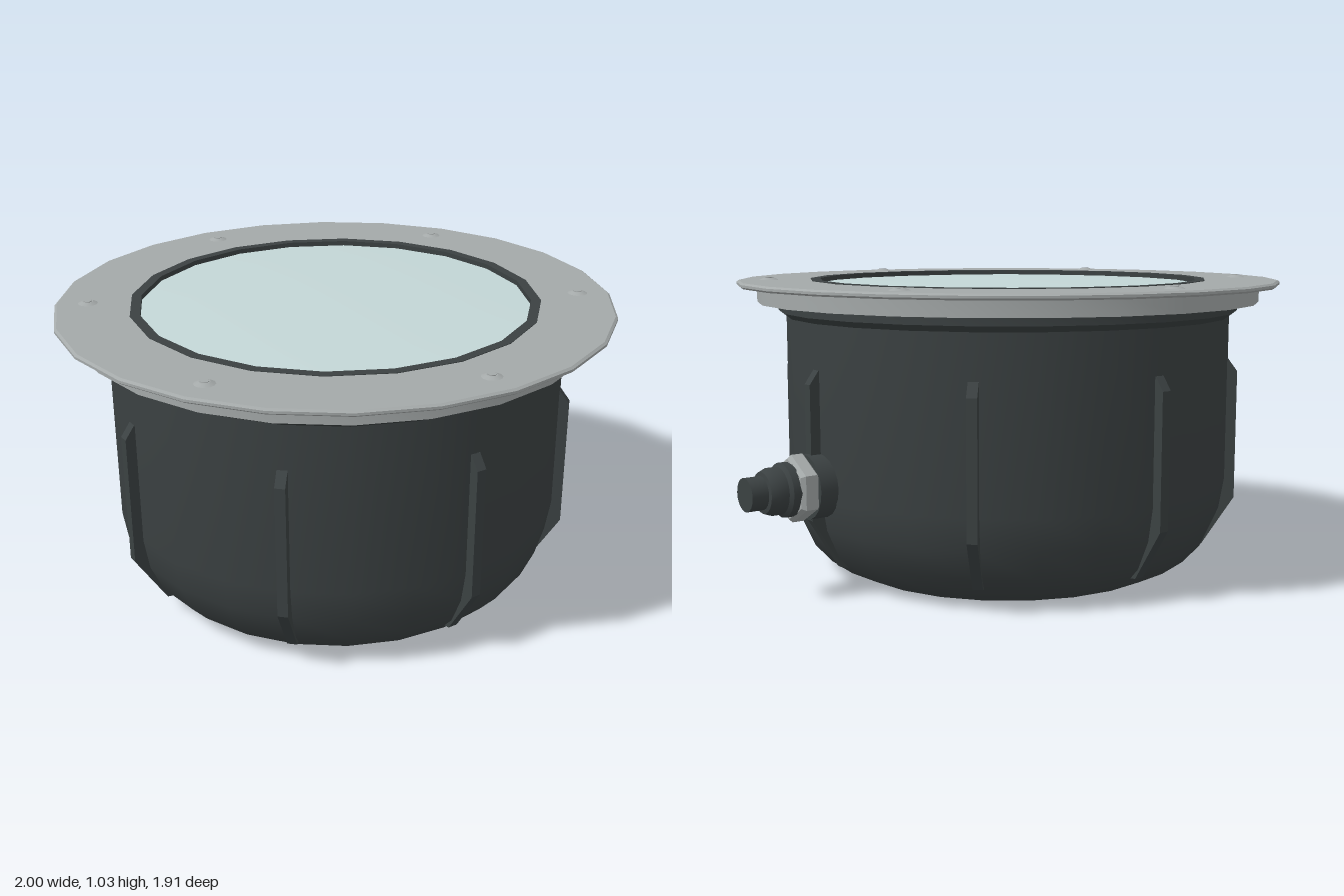
import * as THREE from 'three';
import { toCreasedNormals } from 'three/addons/utils/BufferGeometryUtils.js';

const mat = (name, color) => {
  const m = new THREE.MeshStandardMaterial({ color });
  m.name = name;
  return m;
};

export function createModel() {
  const housing = mat('dark housing plastic', 0x3b4142);
  const steel = mat('brushed steel', 0xa4a9a9);
  const glass = mat('pale glass', 0xc3d6d6);

  const model = new THREE.Group();
  model.name = 'recessedLight';
  const lamp = new THREE.Group();
  lamp.name = 'lamp';
  lamp.position.x = -0.047;
  model.add(lamp);

  const add = (parent, name, geometry, material) => {
    const mesh = new THREE.Mesh(geometry, material);
    mesh.name = name;
    parent.add(mesh);
    return mesh;
  };
  // Profiles are [radius, height] pairs, listed anticlockwise
  const lathe = (points, sides) => toCreasedNormals(
    new THREE.LatheGeometry(points.map(([r, y]) => new THREE.Vector2(r, y)), sides), 0.6);

  // Bowl with rounded foot and a flared lip at the top
  add(lamp, 'bowl', lathe([
    [0, 0], [0.57, 0], [0.66, 0.045], [0.72, 0.11], [0.765, 0.21], [0.783, 0.32],
    [0.783, 0.895], [0.81, 0.915], [0.81, 0.95], [0.66, 0.95],
  ], 24), housing);

  // Mounting ring under a wide thin trim plate
  add(lamp, 'mountingRing', lathe([
    [0.7, 0.945], [0.883, 0.945], [0.883, 1.003], [0.7, 1.003],
  ], 24), steel);
  add(lamp, 'trimPlate', lathe([
    [0.69, 1.0], [0.945, 1.0], [0.953, 1.006], [0.953, 1.014], [0.945, 1.02],
    [0.69, 1.02], [0.69, 1.0],
  ], 24), steel);

  // Gasket and shallow glass lens
  add(lamp, 'gasket', lathe([
    [0.668, 0.95], [0.702, 0.95], [0.702, 1.022], [0.668, 1.022], [0.668, 0.95],
  ], 20), housing);
  add(lamp, 'lens', lathe([
    [0.669, 1.005], [0.5, 1.013], [0.25, 1.019], [0, 1.021],
  ], 20), glass);

  // Six low screw heads on the trim plate
  for (let i = 0; i < 6; i++) {
    const a = i * Math.PI / 3;
    const x = 0.84 * Math.sin(a), z = 0.84 * Math.cos(a);
    const washer = add(lamp, 'screwWasher',
      new THREE.CylinderGeometry(0.018, 0.036, 0.008, 12), steel);
    washer.position.set(x, 1.023, z);
    const head = add(lamp, 'screwHead', new THREE.CylinderGeometry(0.015, 0.015, 0.004, 6), steel);
    head.position.set(x, 1.027, z);
  }

  // Eight vertical cooling ribs following the bowl
  const ribShape = new THREE.Shape([
    [0.66, 0.07], [0.705, 0.075], [0.816, 0.25], [0.816, 0.7], [0.783, 0.745], [0.74, 0.745],
    [0.74, 0.3],
  ].map(([r, y]) => new THREE.Vector2(r, y)));
  const ribGeometry = new THREE.ExtrudeGeometry(ribShape, { depth: 0.034, bevelEnabled: false });
  ribGeometry.translate(0, 0, -0.017);
  for (let i = 0; i < 8; i++) {
    add(lamp, 'rib', ribGeometry, housing).rotation.y = i * Math.PI / 4;
  }

  // Cable gland on the left side, its axis running along x
  const gland = new THREE.Group();
  gland.name = 'cableGland';
  gland.position.y = 0.365;
  gland.rotation.z = -Math.PI / 2;
  model.add(gland);
  add(gland, 'glandBase', lathe([
    [0, 0.66], [0.108, 0.66], [0.108, 0.785], [0, 0.785],
  ], 20), housing);
  const nut = toCreasedNormals(new THREE.LatheGeometry([
    [0, 0.782], [0.1, 0.782], [0.112, 0.793], [0.112, 0.833], [0.1, 0.847], [0, 0.847],
  ].map(([r, y]) => new THREE.Vector2(r, y)), 6), 0.2);
  nut.rotateY(Math.PI / 6);
  add(gland, 'glandNut', nut, steel);
  add(gland, 'glandCap', lathe([
    [0, 0.84], [0.09, 0.84], [0.09, 0.872], [0.078, 0.882], [0.078, 0.915],
    [0.068, 0.94], [0.045, 0.945], [0, 0.945],
  ], 20), housing);
  add(gland, 'cableEnd', lathe([
    [0, 0.93], [0.055, 0.93], [0.055, 1.0], [0, 1.0],
  ], 20), housing);

  // The nut's corners point up and down
  gland.getObjectByName('glandNut').rotation.y = Math.PI / 3;
  return model;
}
